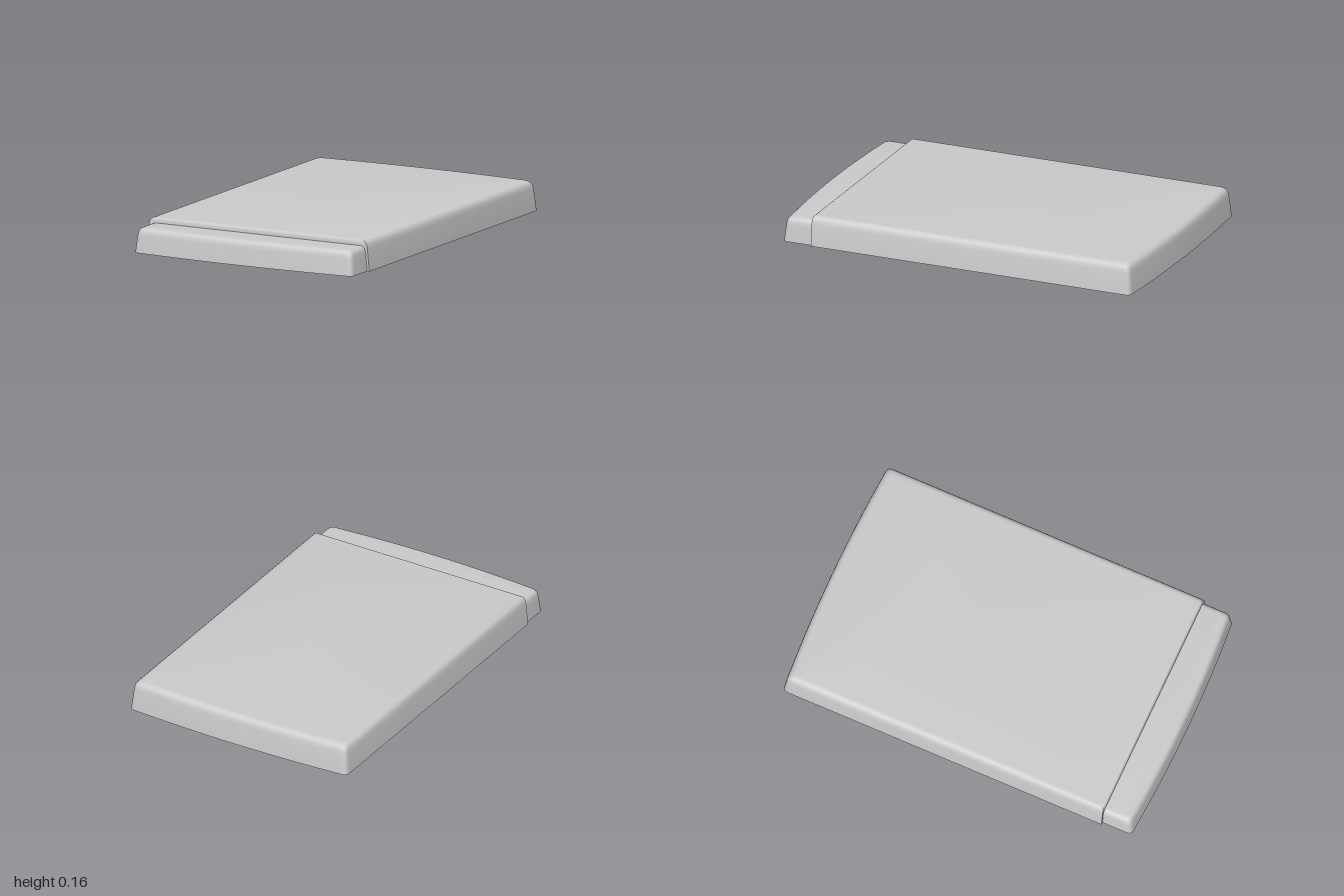
import * as THREE from 'three';
import { toCreasedNormals } from 'three/addons/utils/BufferGeometryUtils.js';

const material = new THREE.MeshStandardMaterial({ color: 0xcccccc });

// Plan outline, counter-clockwise from above: straight end at zFlat, bowed end at zBow.
function outline(w, zFlat, zBow, bulge, r) {
  const zc = zBow + bulge;
  const half = [[w, zFlat]];
  for (let i = 0; i <= 5; i++) {
    const t = i / 5;
    half.push([w - r * t * t, zc + r * (1 - t) * (1 - t)]);
  }
  for (let i = 1; i <= 8; i++) {
    const k = 1 - i / 8;
    half.push([(w - r) * k, zBow + bulge * k * k]);
  }
  const mirrored = half.slice(0, -1).reverse().map(([x, z]) => [-x, z]);
  return [...half, ...mirrored];
}

// Stack inset outlines into a closed shell. Each ring is [y, side inset, flat-end inset].
function shell(name, { w, zFlat, zBow, bulge, r }, rings) {
  const pos = [], idx = [];
  let n = 0;
  for (const [y, side, flat] of rings) {
    const pts = outline(w - side, zFlat - flat, zBow + side, bulge, r);
    n = pts.length;
    for (const [x, z] of pts) pos.push(x, y, z);
  }
  const zMid = (zFlat + zBow) / 2;
  const bottom = rings.length * n, top = bottom + 1, last = (rings.length - 1) * n;
  pos.push(0, rings[0][0], zMid, 0, rings[rings.length - 1][0], zMid);
  for (let i = 0; i < n; i++) {
    const j = (i + 1) % n;
    for (let k = 0; k < last; k += n) {
      idx.push(k + i, k + j, k + n + j, k + i, k + n + j, k + n + i);
    }
    idx.push(bottom, j, i, top, last + i, last + j);
  }
  const geo = new THREE.BufferGeometry();
  geo.setAttribute('position', new THREE.Float32BufferAttribute(pos, 3));
  geo.setIndex(idx);
  const mesh = new THREE.Mesh(toCreasedNormals(geo, 0.7), material);
  mesh.name = name;
  return mesh;
}

export function createModel() {
  const group = new THREE.Group();
  group.name = 'steppedSlab';

  // Main slab: bowed back, straight front, slightly tapered sides, rounded top edge
  group.add(shell('mainBody',
    { w: 0.65, zFlat: 0.81, zBow: -1, bulge: 0.022, r: 0.03 },
    [[0, 0, 0], [0.115, 0.011, 0], [0.135, 0.015, 0], [0.147, 0.021, 0.001],
      [0.155, 0.03, 0.004], [0.159, 0.04, 0.009], [0.16, 0.052, 0.014]]));

  // Lower front lip: same construction turned to bow forwards
  const lip = shell('frontLip',
    { w: 0.638, zFlat: -0.8, zBow: -0.998, bulge: 0.025, r: 0.03 },
    [[0, 0, 0], [0.09, 0.009, 0], [0.107, 0.012, 0], [0.118, 0.017, 0],
      [0.125, 0.024, 0], [0.129, 0.033, 0], [0.13, 0.042, 0]]);
  lip.rotation.y = Math.PI;
  group.add(lip);

  return group;
}
